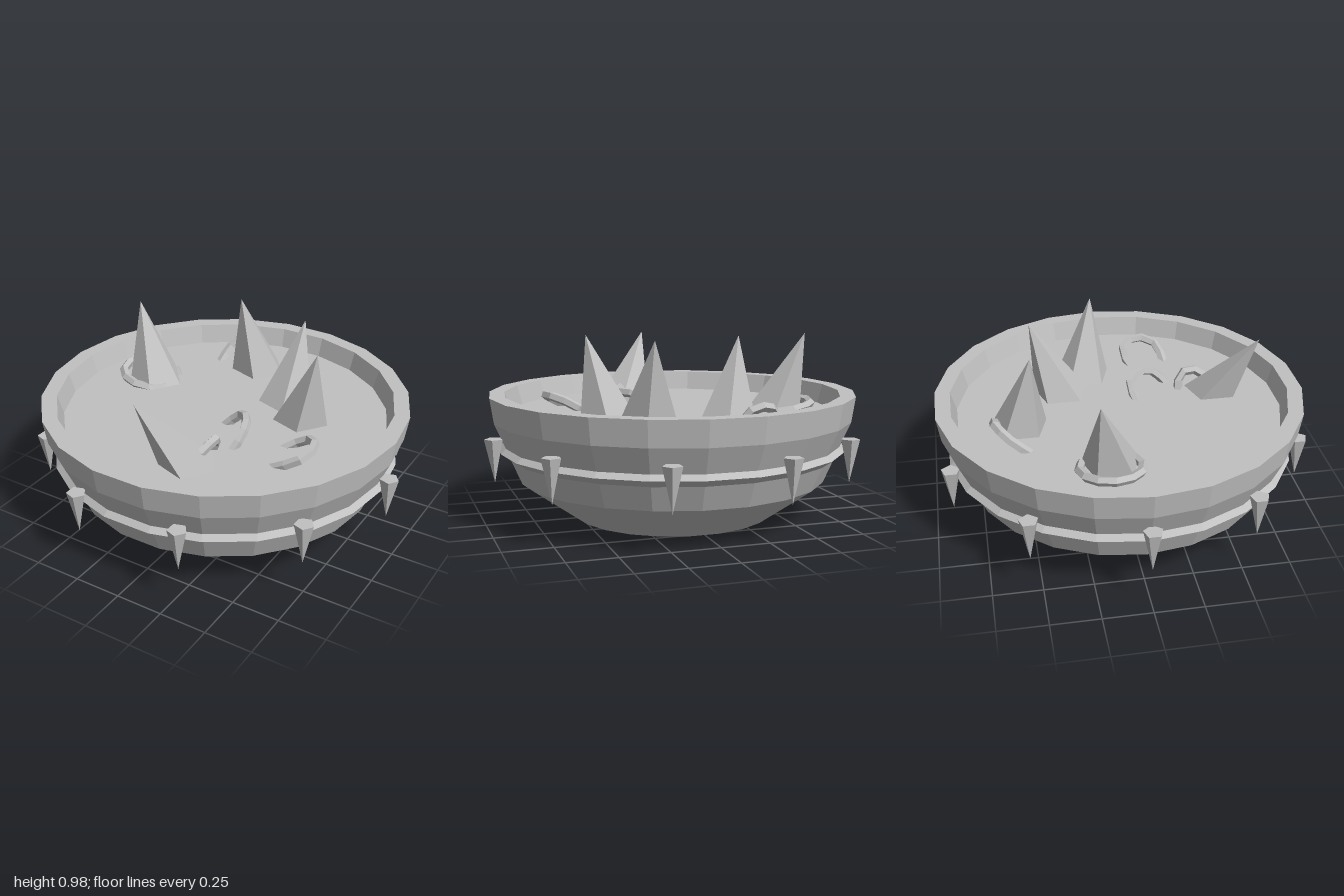
import * as THREE from 'three';

const FLOOR = 0.55;

export function createModel() {
  const model = new THREE.Group();
  model.name = 'spikedBowl';
  const stone = new THREE.MeshStandardMaterial({ color: 0xc0c0c0 });
  stone.name = 'grey';
  stone.flatShading = true;

  const add = (name, geometry) => {
    const mesh = new THREE.Mesh(geometry, stone);
    mesh.name = name;
    model.add(mesh);
    return mesh;
  };

  // Bowl: outside, rim, inner wall and filled surface in one profile
  const profile = [
    [0, 0], [0.525, 0], [0.808, 0.2], [0.862, 0.326], [0.915, 0.364], [0.888, 0.39],
    [0.945, 0.52], [0.965, 0.652], [0.885, 0.652], [0.855, FLOOR], [0, FLOOR],
  ].map(([r, y]) => new THREE.Vector2(r, y));
  add('bowl', new THREE.LatheGeometry(profile, 22, Math.PI / 2));

  // Downward studs around the waist
  for (let i = 0; i < 10; i++) {
    const a = (i * Math.PI) / 5;
    const stud = new THREE.ConeGeometry(0.05, 0.225, 5, 1, false, Math.PI / 2);
    stud.rotateX(Math.PI);
    add('stud', stud).position.set(0.948 * Math.cos(a), 0.332, 0.948 * Math.sin(a));
  }

  // Leaning spikes: base centre x, z and tip x, y, z
  const spikes = [
    [-0.525, -0.125, -0.675, 0.957, -0.197],
    [-0.105, -0.535, -0.187, 0.977, -0.473],
    [0.12, 0.535, -0.05, 0.913, 0.73],
    [0.215, -0.28, 0.23, 0.96, -0.44],
    [0.38, -0.14, 0.485, 0.967, -0.08],
  ];
  for (const [bx, bz, tx, ty, tz] of spikes) {
    const h = ty - FLOOR;
    const cone = new THREE.ConeGeometry(0.15, h, 5, 1, false, Math.PI / 2);
    cone.translate(0, h / 2, 0);
    // shear the upright cone so its tip leans while the base stays level
    cone.applyMatrix4(new THREE.Matrix4().set(
      1, (tx - bx) / h, 0, bx,
      0, 1, 0, FLOOR,
      0, (tz - bz) / h, 1, bz,
      0, 0, 0, 1));
    add('spike', cone);
  }

  // Ring lying around one spike, sunk on one side
  const ring = add('ring', new THREE.TorusGeometry(0.155, 0.025, 5, 12).rotateX(Math.PI / 2));
  ring.position.set(-0.575, 0.565, -0.135);
  ring.rotation.z = -0.15;

  // Curved loops breaking through the surface
  const loops = [
    [[-0.345, 0.53, -0.5], [-0.325, 0.61, -0.6], [-0.255, 0.65, -0.66], [-0.175, 0.63, -0.665], [-0.12, 0.53, -0.63]],
    [[0.06, 0.53, 0.11], [0.14, 0.61, 0.085], [0.21, 0.635, 0.14], [0.245, 0.61, 0.235], [0.225, 0.53, 0.31]],
    [[0.43, 0.53, 0.155], [0.54, 0.6, 0.11], [0.63, 0.63, 0.2], [0.6, 0.6, 0.31], [0.47, 0.53, 0.34]],
    [[0.14, 0.53, 0.35], [0.175, 0.62, 0.37], [0.185, 0.635, 0.45], [0.15, 0.59, 0.52], [0.01, 0.53, 0.55]],
  ];
  for (const points of loops) {
    const path = new THREE.CatmullRomCurve3(points.map((p) => new THREE.Vector3(...p)));
    add('loop', new THREE.TubeGeometry(path, 7, 0.025, 5));
  }

  return model;
}
